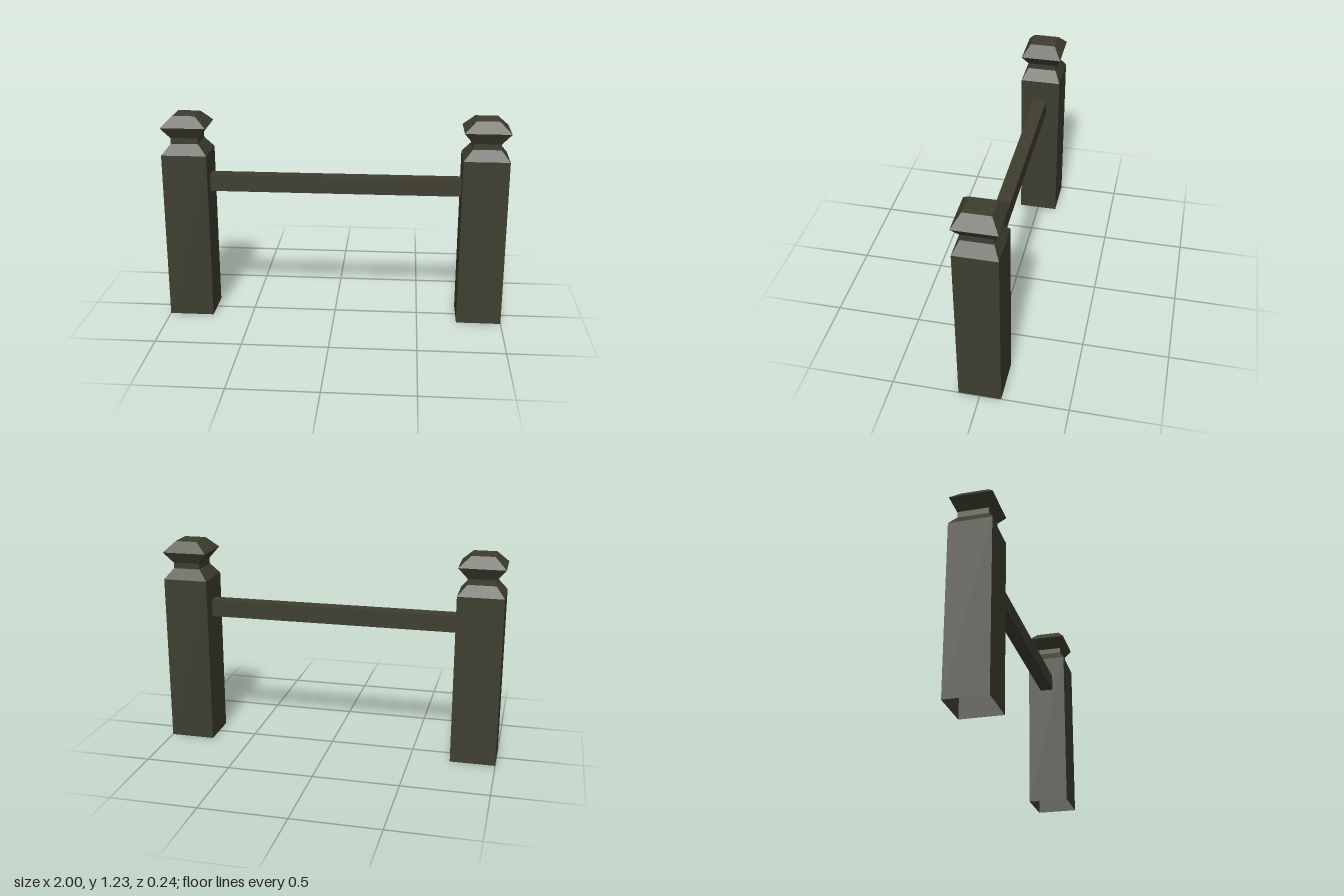
import * as THREE from 'three';

const darkWood = new THREE.MeshStandardMaterial({ color: 0x3e3d2f, side: THREE.DoubleSide, flatShading: true });
darkWood.name = 'dark wood';

// Rectangular cross-sections of a post from the ground up: [y, half width x, half depth z]
const SECTIONS = [
  [0, 0.132, 0.121],
  [1.0, 0.132, 0.121],
  [1.063, 0.08, 0.087],
  [1.097, 0.08, 0.087],
  [1.162, 0.132, 0.121],
  [1.225, 0.065, 0.076],
];
const CORNERS = [[1, 1], [1, -1], [-1, -1], [-1, 1]];

// Faceted skin through the sections, closed on top and open at the foot
function postGeometry() {
  const positions = [];
  const rings = SECTIONS.map(([y, w, d]) => CORNERS.map(([sx, sz]) => [sx * w, y, sz * d]));
  const quad = (a, b, c, d) => positions.push(...a, ...b, ...c, ...a, ...c, ...d);
  for (let r = 0; r < rings.length - 1; r++) {
    for (let i = 0; i < 4; i++) {
      const j = (i + 1) % 4;
      quad(rings[r][i], rings[r][j], rings[r + 1][j], rings[r + 1][i]);
    }
  }
  quad(...rings[rings.length - 1]);
  const geometry = new THREE.BufferGeometry();
  geometry.setAttribute('position', new THREE.Float32BufferAttribute(positions, 3));
  geometry.computeVertexNormals();
  return geometry;
}

export function createModel() {
  const model = new THREE.Group();
  model.name = 'fenceSection';

  // Two matching posts with shaped caps
  const geometry = postGeometry();
  for (const [name, side] of [['leftPost', 1], ['rightPost', -1]]) {
    const post = new THREE.Mesh(geometry, darkWood);
    post.name = name;
    post.position.x = side * 0.868;
    model.add(post);
  }

  // Rail between the inner faces of the posts
  const rail = new THREE.Mesh(new THREE.BoxGeometry(1.472, 0.1, 0.08), darkWood);
  rail.name = 'rail';
  rail.position.y = 0.817;
  model.add(rail);

  return model;
}
